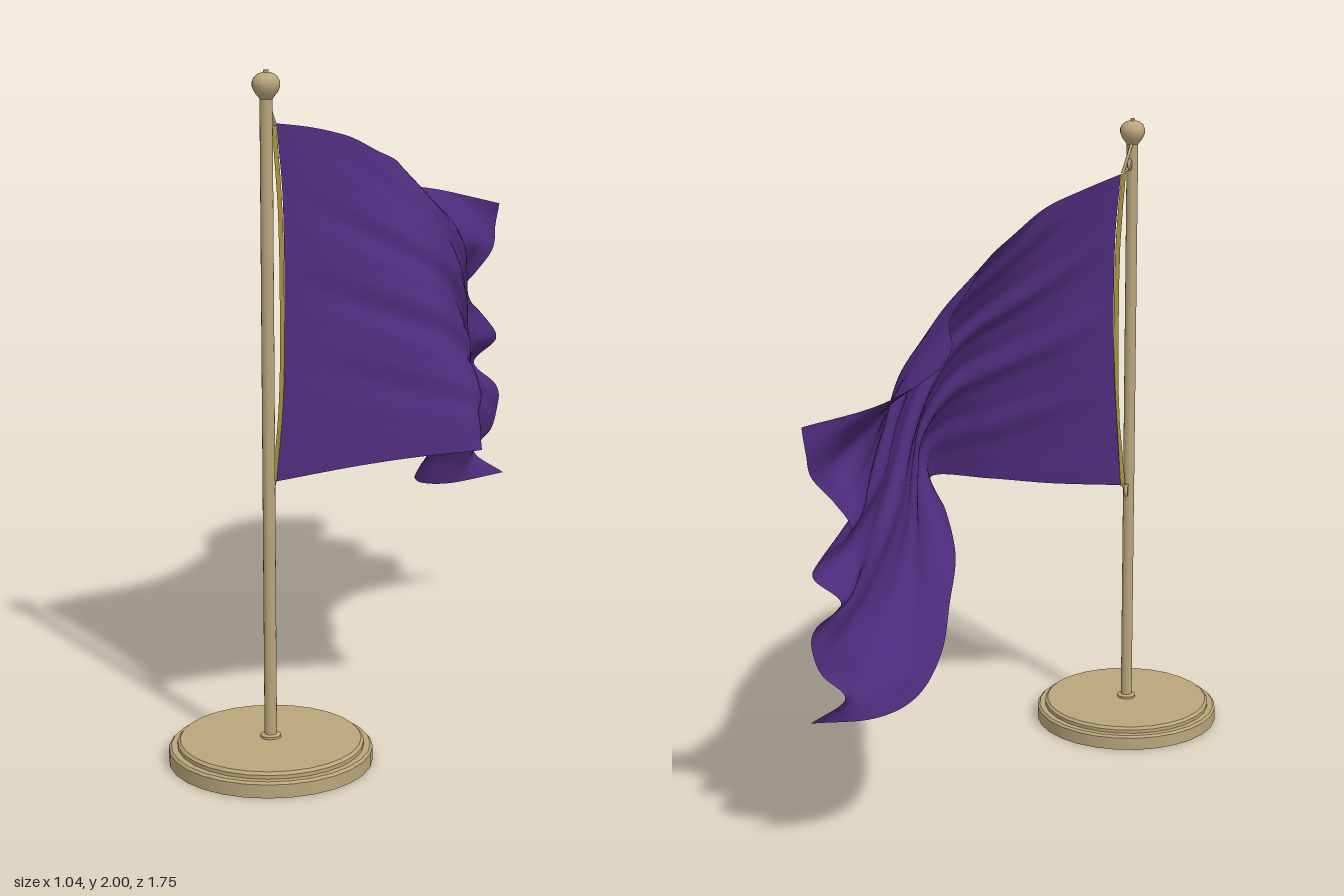
import * as THREE from 'three';
import { toCreasedNormals } from 'three/addons/utils/BufferGeometryUtils.js';

const POLE_X = -0.23, POLE_Z = 0.58;

const brass = new THREE.MeshStandardMaterial({ color: 0xbaa57b });
brass.name = 'paleBrass';
const gold = new THREE.MeshStandardMaterial({ color: 0xad933a, side: THREE.DoubleSide });
gold.name = 'goldTrim';
const purple = new THREE.MeshStandardMaterial({ color: 0x4f2b7c, side: THREE.DoubleSide });
purple.name = 'purpleCloth';

const v3 = (a) => new THREE.Vector3(...a);
const spline = (pts) => new THREE.CatmullRomCurve3(pts, false, 'catmullrom', 0.5);

function add(group, name, geometry, material, position = [0, 0, 0]) {
  const mesh = new THREE.Mesh(geometry, material);
  mesh.name = name;
  mesh.position.set(...position);
  group.add(mesh);
  return mesh;
}

function lathe(profile, segments) {
  const pts = profile.map(([r, y]) => new THREE.Vector2(r, y));
  return toCreasedNormals(new THREE.LatheGeometry(pts, segments), 0.6);
}

// Cloth columns from hoist to fly: [top y, top z, bottom y, bottom z]
const EDGES = [
  [1.84, 0.49, 0.82, 0.525], [1.81, 0.37, 0.84, 0.45], [1.77, 0.27, 0.86, 0.41],
  [1.71, 0.14, 0.87, 0.37], [1.66, 0.0, 0.82, 0.18], [1.6, -0.16, 0.74, 0.0],
  [1.55, -0.32, 0.66, -0.2], [1.51, -0.46, 0.57, -0.39], [1.48, -0.62, 0.5, -0.57],
  [1.435, -0.81, 0.47, -0.68], [1.38, -0.865, 0.48, -0.77],
];
// Sideways position of each column, evenly spaced from top to bottom
const SWAY = [
  [-0.205, -0.19, -0.185, -0.185, -0.19, -0.2, -0.21],
  [-0.1, -0.08, -0.05, -0.04, -0.02, 0.0, 0.0],
  [0.0, 0.04, 0.08, 0.12, 0.15, 0.18, 0.2],
  [0.08, 0.15, 0.21, 0.26, 0.3, 0.36, 0.38],
  [0.14, 0.25, 0.3, 0.32, 0.36, 0.38, 0.3],
  [0.17, 0.3, 0.34, 0.35, 0.35, 0.34, 0.24],
  [0.19, 0.335, 0.36, 0.36, 0.34, 0.31, 0.22],
  [0.16, 0.28, 0.34, 0.36, 0.37, 0.37, 0.38, 0.37, 0.37, 0.35, 0.31, 0.26, 0.21],
  [0.18, 0.29, 0.35, 0.37, 0.37, 0.4, 0.42, 0.39, 0.41, 0.41, 0.36, 0.29, 0.25],
  [0.3, 0.38, 0.42, 0.39, 0.36, 0.43, 0.47, 0.4, 0.45, 0.47, 0.44, 0.39, 0.35],
  [0.5, 0.49, 0.48, 0.42, 0.38, 0.45, 0.49, 0.42, 0.49, 0.5, 0.48, 0.42, 0.52],
];

function clothGeometry(nu = 120, nv = 100) {
  const columns = EDGES.map(([ty, tz, by, bz], i) => spline(SWAY[i].map((x, j, sway) => {
    const v = j / (sway.length - 1);
    return new THREE.Vector3(x, ty + (by - ty) * v, tz + (bz - tz) * v);
  })));
  const positions = [], index = [];
  for (let j = 0; j <= nv; j++) {
    const v = j / nv;
    const row = spline(columns.map((c) => c.getPoint(v)));
    for (let i = 0; i <= nu; i++) {
      const u = i / nu;
      const p = row.getPoint(u);
      // diagonal folds sweeping down from the hoist, fading at the borders
      const phase = 2 * Math.PI * (4.2 * v - 3.1 * u + 0.4 * u * u);
      const fade = Math.min(1, u * 5, (1.1 - u) * 4) * (0.2 + 0.8 * Math.sin(Math.PI * v));
      const fold = 0.009 * fade * (Math.sin(phase) + 0.45 * Math.sin(2 * phase + 1.2 + 3 * u));
      p.x += fold * 0.8;
      p.z += fold * 0.6;
      // scalloped fly edge
      p.z += 0.014 * u ** 10 * Math.sin(v * 19 + 3.2);
      positions.push(p.x, p.y, p.z);
      if (i < nu && j < nv) {
        const a = j * (nu + 1) + i, b = a + nu + 1;
        index.push(a, b, a + 1, b, b + 1, a + 1);
      }
    }
  }
  const g = new THREE.BufferGeometry();
  g.setAttribute('position', new THREE.Float32BufferAttribute(positions, 3));
  g.setIndex(index);
  g.computeVertexNormals();
  return g;
}

// Flat ribbon running down the hoist edge, with a slightly uneven outer side
function bandGeometry() {
  const edge = spline([
    [-0.205, 1.84, 0.49], [-0.189, 1.6, 0.499], [-0.185, 1.33, 0.508],
    [-0.189, 1.06, 0.517], [-0.21, 0.815, 0.525],
  ].map(v3));
  const g = new THREE.PlaneGeometry(1, 1, 2, 40);
  const pos = g.attributes.position;
  for (let i = 0; i < pos.count; i++) {
    const across = 0.5 - pos.getX(i), t = 0.5 - pos.getY(i);
    const p = edge.getPoint(t);
    const width = 0.029 + 0.003 * Math.sin(t * 45);
    pos.setXYZ(i, p.x - 0.012 * across, p.y, p.z + width * across);
  }
  g.computeVertexNormals();
  return g;
}

export function createModel() {
  const model = new THREE.Group();
  model.name = 'flagOnStand';

  // Stand: stepped round base hollowed underneath, pole and finial
  const stand = new THREE.Group();
  stand.name = 'stand';
  stand.position.set(POLE_X, 0, POLE_Z);
  model.add(stand);
  add(stand, 'base', lathe([
    [0, 0.05], [0.03, 0.05], [0.25, 0.035], [0.272, 0], [0.295, 0], [0.295, 0.04],
    [0.288, 0.047], [0.27, 0.047], [0.27, 0.058], [0.262, 0.066], [0.25, 0.066], [0, 0.07],
  ], 28), brass);
  add(stand, 'poleCollar', lathe([[0.03, 0.066], [0.03, 0.076], [0.018, 0.08]], 20), brass);
  add(stand, 'pole', new THREE.CylinderGeometry(0.018, 0.018, 1.87, 16), brass, [0, 1.0, 0]);
  add(stand, 'finial', lathe([
    [0.018, 1.92], [0.024, 1.928], [0.033, 1.94], [0.039, 1.955], [0.039, 1.968],
    [0.033, 1.98], [0.022, 1.989], [0.008, 1.993], [0.007, 1.999], [0, 2.0],
  ], 20), brass);

  // Cloth and its gold hoist band
  add(model, 'flagCloth', clothGeometry(), purple);
  add(model, 'hoistBand', bandGeometry(), gold);

  // Cords and rings tying the hoist to the pole
  const cords = [
    [[-0.228, 1.92, 0.565], [-0.222, 1.89, 0.53], [-0.208, 1.84, 0.505]],
    [[-0.228, 1.855, 0.565], [-0.22, 1.85, 0.535], [-0.208, 1.84, 0.505]],
    [[-0.228, 0.81, 0.565], [-0.22, 0.805, 0.55], [-0.214, 0.825, 0.54]],
  ];
  for (const pts of cords) {
    add(model, 'cord', new THREE.TubeGeometry(spline(pts.map(v3)), 10, 0.005, 6), brass);
  }
  for (const y of [1.86, 0.795]) {
    const ring = add(model, 'clipRing', new THREE.TorusGeometry(0.014, 0.006, 8, 16), brass,
      [-0.225, y, 0.548]);
    ring.rotation.y = Math.PI / 2;
  }
  return model;
}
